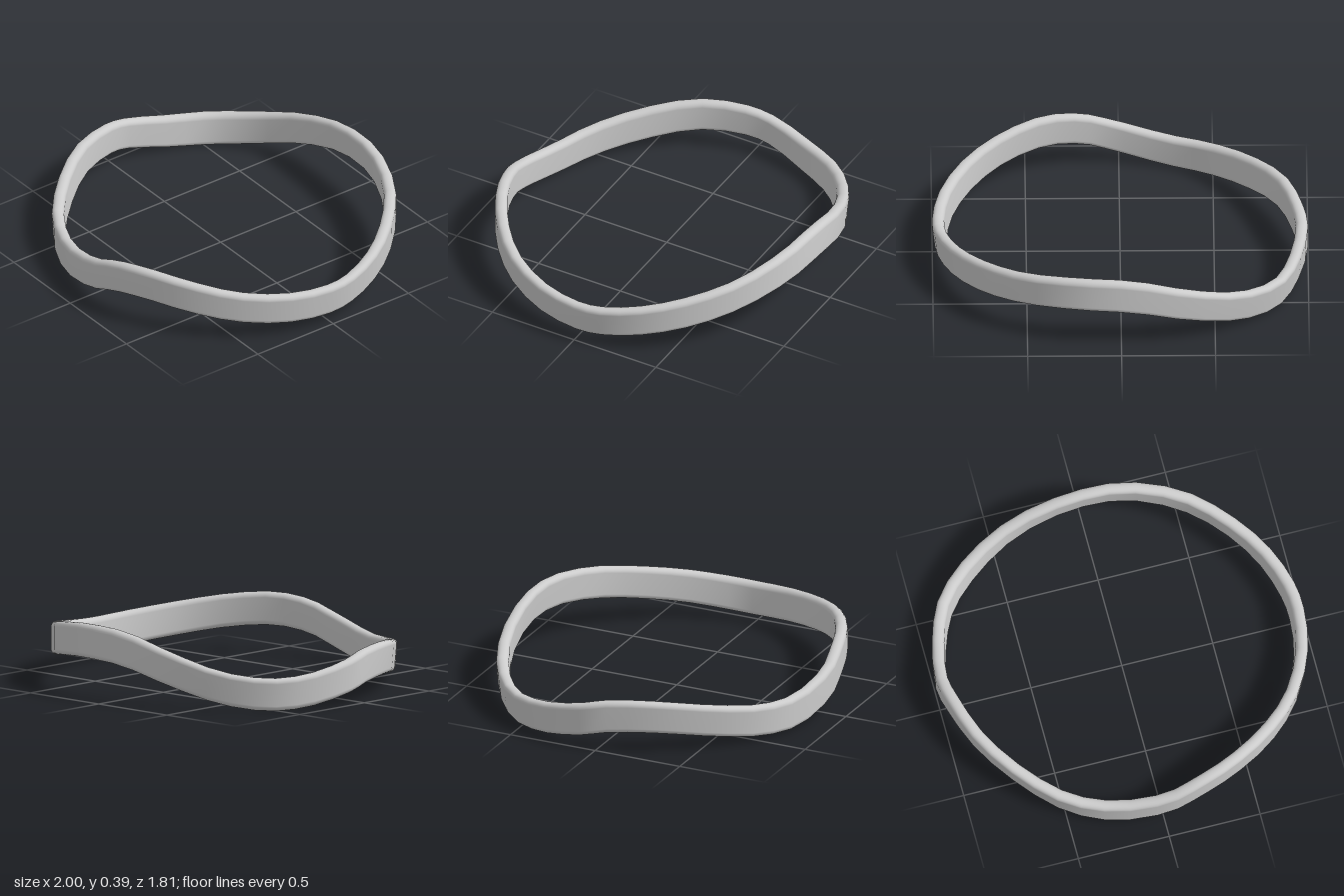
import * as THREE from 'three';

const HALF_THICK = 0.033, HALF_HEIGHT = 0.09, RADIUS = 0.029;
const RINGS = 48;

// Outer outline of the band: x, mid height, z, outward lean of the top edge
const OUTLINE = [
  [0.995, 0.14, 0.0, 0.010], [0.955, 0.155, 0.245, 0.008], [0.83, 0.187, 0.49, 0.005],
  [0.645, 0.225, 0.675, 0], [0.415, 0.246, 0.81, 0], [0.21, 0.22, 0.875, 0],
  [0.03, 0.16, 0.9, 0], [-0.265, 0.1, 0.85, 0], [-0.505, 0.112, 0.74, 0.005],
  [-0.72, 0.155, 0.54, 0.008], [-0.89, 0.193, 0.295, 0.005], [-0.975, 0.187, 0.05, 0],
  [-1.0, 0.155, -0.1, 0], [-0.95, 0.105, -0.34, 0.008], [-0.855, 0.092, -0.555, 0.013],
  [-0.665, 0.124, -0.73, 0.010], [-0.4, 0.205, -0.855, 0], [-0.07, 0.288, -0.9, -0.008],
  [0.24, 0.298, -0.88, -0.006], [0.54, 0.262, -0.76, 0], [0.75, 0.217, -0.58, 0],
  [0.9, 0.178, -0.37, 0.005], [0.98, 0.148, -0.155, 0.010],
];

// Rounded rectangle cross-section as [outward, up] pairs, counter-clockwise
function bandSection(steps = 5) {
  const points = [];
  const corners = [[1, 1], [-1, 1], [-1, -1], [1, -1]];
  corners.forEach(([su, sv], q) => {
    for (let k = 0; k <= steps; k++) {
      const a = (q + k / steps) * Math.PI / 2;
      points.push([
        su * (HALF_THICK - RADIUS) + RADIUS * Math.cos(a),
        sv * (HALF_HEIGHT - RADIUS) + RADIUS * Math.sin(a),
      ]);
    }
  });
  return points;
}

// Sweep the section round the closed wavy path, keeping it upright
function bandGeometry() {
  const centre = OUTLINE.map(([x, y, z]) => {
    const s = 1 - HALF_THICK / Math.hypot(x, z);
    return new THREE.Vector3(x * s, y, z * s);
  });
  const path = new THREE.CatmullRomCurve3(centre, true);
  const leans = new THREE.CatmullRomCurve3(
    OUTLINE.map((p) => new THREE.Vector3(p[3], 0, 0)), true, 'catmullrom', 0.5);
  const section = bandSection();
  const n = section.length;
  const positions = [], index = [];
  for (let i = 0; i < RINGS; i++) {
    const t = i / RINGS;
    const p = path.getPoint(t), d = path.getTangent(t);
    const lean = leans.getPoint(t).x / HALF_HEIGHT;
    const out = new THREE.Vector3(d.z, 0, -d.x).normalize();
    section.forEach(([u, v], j) => {
      const w = u + lean * v;
      positions.push(p.x + out.x * w, p.y + v, p.z + out.z * w);
      const a = i * n + j, b = i * n + (j + 1) % n;
      const next = ((i + 1) % RINGS) * n;
      const c = next + j, e = next + (j + 1) % n;
      index.push(a, b, c, b, e, c);
    });
  }
  const geometry = new THREE.BufferGeometry();
  geometry.setAttribute('position', new THREE.Float32BufferAttribute(positions, 3));
  geometry.setIndex(index);
  geometry.computeVertexNormals();
  return geometry;
}

export function createModel() {
  const model = new THREE.Group();
  model.name = 'wavyBand';
  const band = new THREE.Mesh(bandGeometry(), new THREE.MeshStandardMaterial({ color: 0xcccccc }));
  band.name = 'band';
  model.add(band);
  return model;
}
